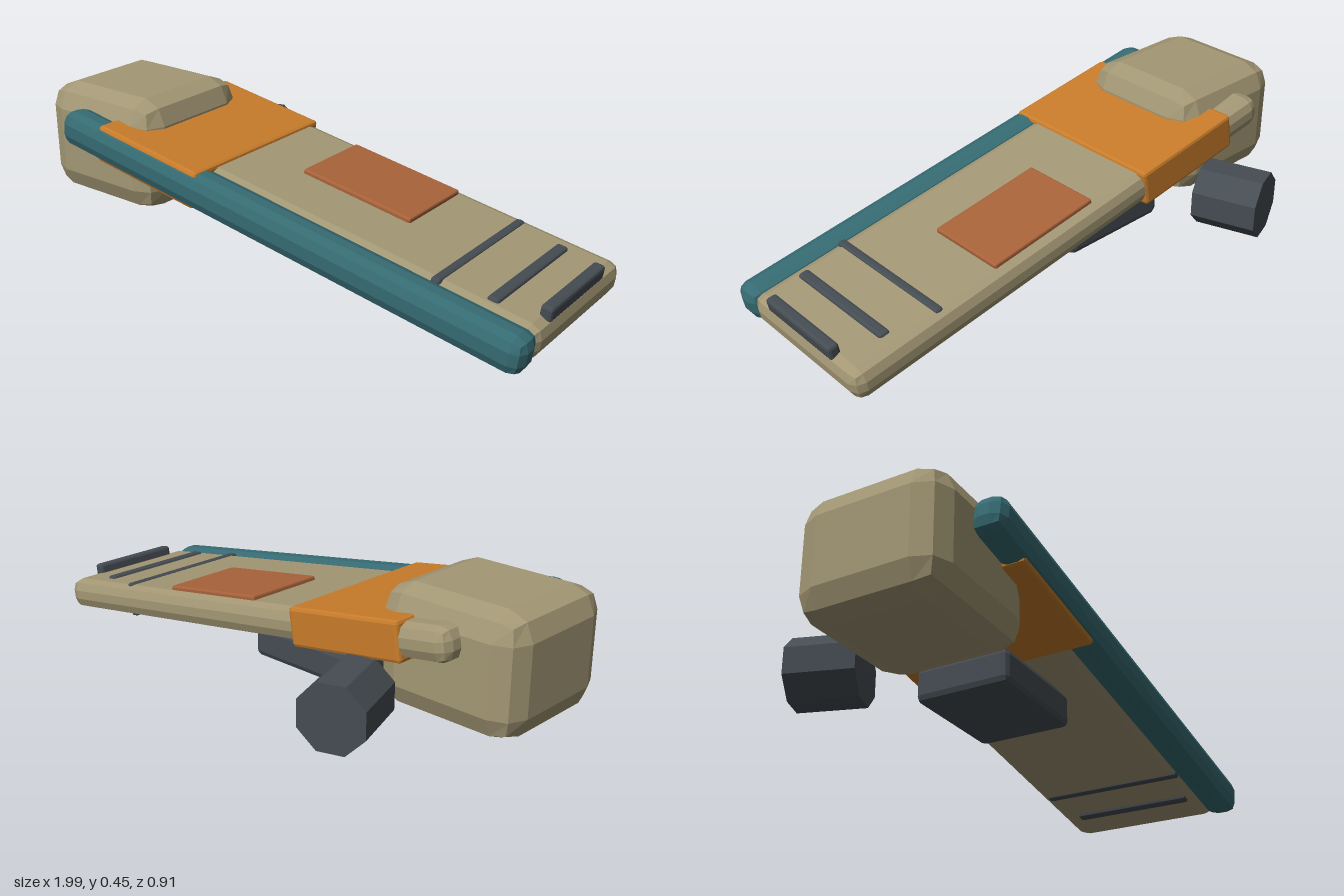
import * as THREE from 'three';
import { RoundedBoxGeometry } from 'three/addons/geometries/RoundedBoxGeometry.js';

const material = (name, color) => {
  const m = new THREE.MeshStandardMaterial({ color });
  m.name = name;
  return m;
};

// Box with a two-facet bevel and flat faces, given as [min, max] per axis
function bevelBox(name, mat, [x0, x1], [y0, y1], [z0, z1], bevel) {
  const geo = new RoundedBoxGeometry(x1 - x0, y1 - y0, z1 - z0, 1, bevel);
  geo.clearGroups();
  geo.computeVertexNormals();
  const mesh = new THREE.Mesh(geo, mat);
  mesh.name = name;
  mesh.position.set((x0 + x1) / 2, (y0 + y1) / 2, (z0 + z1) / 2);
  return mesh;
}

export function createModel() {
  const tan = material('tan', 0xa39774);
  const teal = material('teal', 0x366b73);
  const orange = material('orange', 0xc87c2a);
  const rust = material('rust', 0xa9633a);
  const dark = material('charcoal', 0x454c52);

  const model = new THREE.Group();
  model.name = 'model';

  // Sloping deck with everything mounted on it
  const deck = new THREE.Group();
  deck.name = 'deck';
  deck.position.set(0.082, 0.204, 0);
  deck.rotation.z = -0.16;
  deck.add(
    bevelBox('plank', tan, [-0.91, 0.91], [-0.056, 0.056], [-0.205, 0.36], 0.04),
    bevelBox('sideRail', teal, [-0.915, 0.915], [-0.061, 0.061], [0.335, 0.45], 0.04),
    bevelBox('band', orange, [-0.745, -0.3], [-0.066, 0.066], [-0.21, 0.432], 0.012),
    bevelBox('panel', rust, [-0.096, 0.329], [0.046, 0.071], [-0.165, 0.13], 0.006),
  );

  // Cross ribs: centre x, width, bottom, top, z range
  const ribs = [
    [0.562, 0.032, -0.062, 0.062, [-0.175, 0.348]],
    [0.735, 0.04, -0.066, 0.066, [-0.13, 0.312]],
    [0.88, 0.04, 0.04, 0.09, [-0.08, 0.266]],
  ];
  ribs.forEach(([x, w, y0, y1, z], i) =>
    deck.add(bevelBox(`rib${i + 1}`, dark, [x - w / 2, x + w / 2], [y0, y1], z, 0.01)));
  model.add(deck);

  // Big head block at the high end and the dark block under the deck
  model.add(
    bevelBox('headBlock', tan, [-1, -0.49], [0.055, 0.455], [-0.13, 0.357], 0.085),
    bevelBox('underBlock', dark, [-0.38, 0.04], [0.055, 0.175], [-0.118, 0.212], 0.022),
  );

  // Eight-sided drum behind the head
  let drumGeo = new THREE.CylinderGeometry(0.118, 0.118, 0.23, 8);
  drumGeo.rotateY(Math.PI / 8).rotateX(Math.PI / 2);
  drumGeo = drumGeo.toNonIndexed();
  drumGeo.computeVertexNormals();
  const drum = new THREE.Mesh(drumGeo, dark);
  drum.name = 'drum';
  drum.position.set(-0.555, 0.134, -0.32);
  drum.rotation.y = 0.34;
  model.add(drum);

  return model;
}
